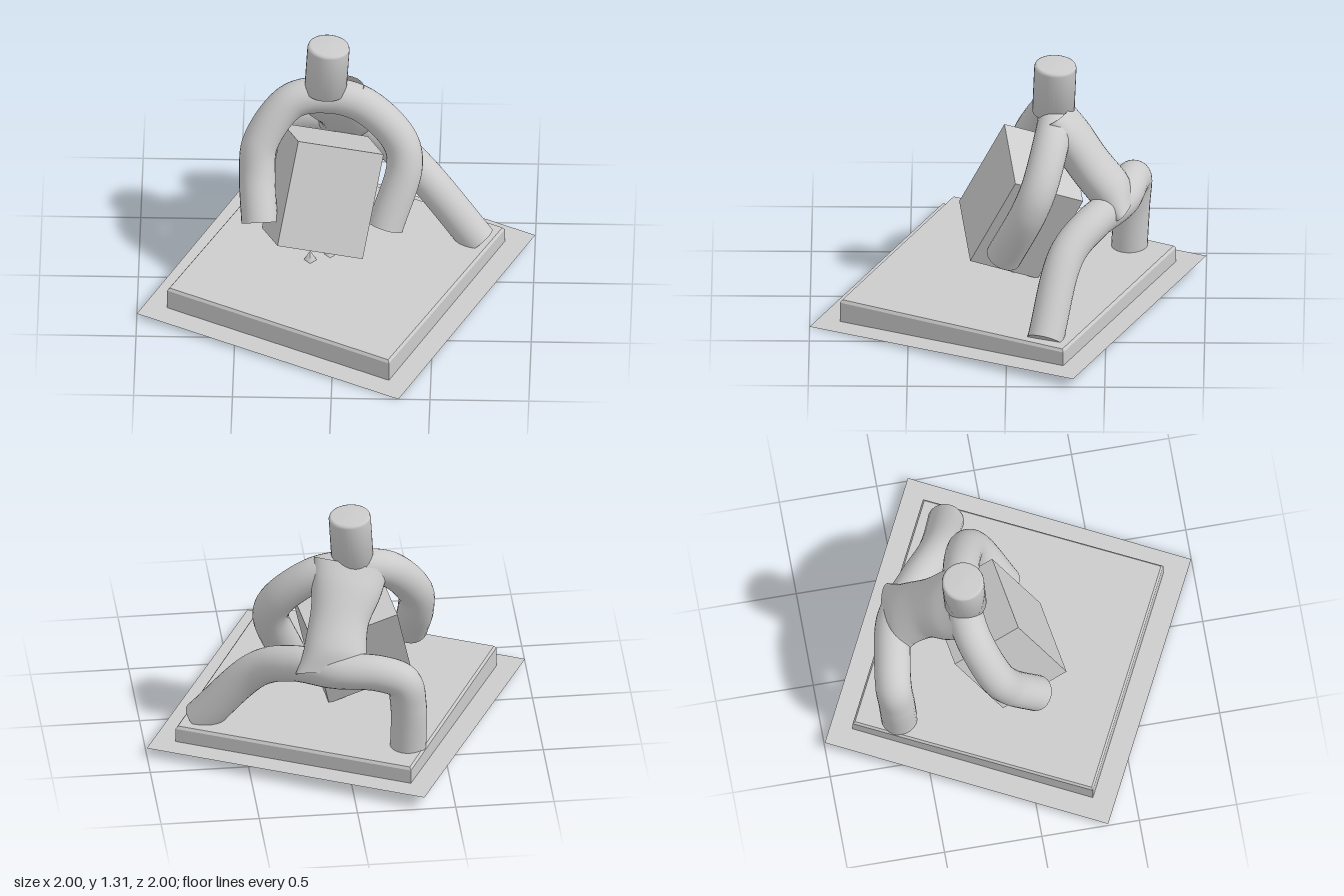
import * as THREE from 'three';

const grey = new THREE.MeshStandardMaterial({ color: 0xcccccc });
const greyDouble = new THREE.MeshStandardMaterial({ color: 0xcccccc, side: THREE.DoubleSide });
const V = (p) => new THREE.Vector3(...p);

function add(parent, name, geometry, material = grey) {
  const mesh = new THREE.Mesh(geometry, material);
  mesh.name = name;
  parent.add(mesh);
  return mesh;
}

// Round limb pair swept along a smooth path, closed by flat ends
function limbs(parent, name, points, radius) {
  const group = new THREE.Group();
  group.name = name;
  const path = new THREE.CatmullRomCurve3(points.map(V), false, 'centripetal');
  add(group, name + 'Sweep', new THREE.TubeGeometry(path, 96, radius, 24));
  for (const t of [0, 1]) {
    const out = path.getTangent(t).multiplyScalar(t ? 1 : -1);
    const cap = add(group, name + 'End', new THREE.CircleGeometry(radius, 24));
    cap.quaternion.setFromUnitVectors(new THREE.Vector3(0, 0, 1), out);
    cap.position.copy(path.getPoint(t));
  }
  parent.add(group);
}

// Torso: elliptical cross-sections [x, y, z, half width, half depth] along a leaning spine
function torsoGeometry(sections) {
  const steps = 24, sides = 32;
  const spine = new THREE.CatmullRomCurve3(sections.map((s) => V(s.slice(0, 3))));
  const sizes = new THREE.CatmullRomCurve3(sections.map((s) => V([s[3], s[4], 0])));
  const pos = [], index = [];
  for (let i = 0; i <= steps; i++) {
    const t = i / steps;
    const c = spine.getPoint(t), size = sizes.getPoint(t), tan = spine.getTangent(t);
    const depth = new THREE.Vector3().crossVectors(tan, new THREE.Vector3(1, 0, 0)).normalize();
    const side = new THREE.Vector3().crossVectors(depth, tan).normalize();
    for (let j = 0; j < sides; j++) {
      const a = (j / sides) * Math.PI * 2;
      const p = c.clone().addScaledVector(side, size.x * Math.cos(a))
        .addScaledVector(depth, size.y * Math.sin(a));
      pos.push(p.x, p.y, p.z);
      if (i < steps) {
        const k = (j + 1) % sides, r = i * sides, n = r + sides;
        index.push(r + j, r + k, n + j, r + k, n + k, n + j);
      }
    }
  }
  const g = new THREE.BufferGeometry();
  g.setAttribute('position', new THREE.Float32BufferAttribute(pos, 3));
  g.setIndex(index);
  g.computeVertexNormals();
  return g;
}

// Hollow plinth: square rings from the thin flange, up the walls, to the middle of the top
function plinthGeometry() {
  const corners = [[-0.34, -1], [1, -0.34], [0.34, 1], [-1, 0.34]];
  const low = (x, z) => 0.038 - 0.034 * z;
  const high = (x, z) => 0.143 - 0.012 * z - 0.012 * x;
  const rings = [[1, low, 0], [0.848, low, 0], [0.848, high, -0.014], [0.835, high, 0], [0, high, 0]];
  const point = ([s, level, dy], i) => {
    const x = corners[i % 4][0] * s, z = corners[i % 4][1] * s;
    return [x, level(x, z) + dy, z];
  };
  const pos = [];
  for (let r = 0; r < rings.length - 1; r++) {
    for (let i = 0; i < 4; i++) {
      const a = point(rings[r], i), b = point(rings[r], i + 1);
      const c = point(rings[r + 1], i), d = point(rings[r + 1], i + 1);
      pos.push(...a, ...c, ...b);
      if (rings[r + 1][0] > 0) pos.push(...b, ...c, ...d);
    }
  }
  const g = new THREE.BufferGeometry();
  g.setAttribute('position', new THREE.Float32BufferAttribute(pos, 3));
  g.computeVertexNormals();
  return g;
}

export function createModel() {
  const model = new THREE.Group();
  model.name = 'figureLiftingBlock';

  add(model, 'plinth', plinthGeometry(), greyDouble);

  // Tilted block held between the arms, from one front corner and three edges
  const across = V([0.43, -0.12, -0.06]), down = V([-0.1, -0.49, 0.23]);
  const back = across.clone().cross(down).normalize().multiplyScalar(0.38);
  const centre = V([-0.19, 0.89, 0.02]).addScaledVector(across, 0.5)
    .addScaledVector(down, 0.5).addScaledVector(back, 0.5);
  const frame = new THREE.Matrix4()
    .makeBasis(across, down.clone().negate(), back.clone().negate()).setPosition(centre);
  add(model, 'block', new THREE.BoxGeometry(1, 1, 1).applyMatrix4(frame));

  // Small rough chips under the block
  for (const [x, z, h] of [[-0.13, 0.02, 0.06], [-0.03, -0.03, 0.04]]) {
    add(model, 'chip', new THREE.ConeGeometry(0.035, h, 4)).position.set(x, 0.14 + h / 2, z);
  }

  const figure = new THREE.Group();
  figure.name = 'figure';
  model.add(figure);

  // Head: short, slightly leaning cylinder with a softened rim
  const profile = [[0, -0.15], [0.107, -0.15], [0.107, 0.105], [0.103, 0.117], [0.092, 0.122], [0, 0.125]];
  const rim = profile.map(([x, y]) => new THREE.Vector2(x, y));
  const head = add(figure, 'head', new THREE.LatheGeometry(rim, 32));
  head.position.set(-0.05, 1.183, -0.235);
  head.rotation.set(-0.04, 0, -0.06);

  limbs(figure, 'arms', [
    [-0.385, 0.42, 0.08], [-0.4, 0.62, -0.06], [-0.385, 0.77, -0.13], [-0.23, 0.965, -0.22],
    [-0.05, 0.99, -0.24], [0.13, 0.95, -0.22], [0.315, 0.78, -0.16], [0.345, 0.66, -0.11],
    [0.25, 0.36, 0.02],
  ], 0.092);

  limbs(figure, 'legs', [
    [-0.3, 0.13, -0.61], [-0.3, 0.4, -0.625], [-0.27, 0.54, -0.635], [-0.15, 0.59, -0.62],
    [0.07, 0.59, -0.57], [0.26, 0.56, -0.43], [0.43, 0.46, -0.3], [0.715, 0.12, -0.195],
  ], 0.092);

  add(figure, 'torso', torsoGeometry([
    [-0.05, 1.02, -0.25, 0.19, 0.08], [-0.02, 0.92, -0.31, 0.18, 0.105],
    [0.03, 0.78, -0.41, 0.15, 0.11], [0.06, 0.66, -0.51, 0.16, 0.11],
    [0.07, 0.57, -0.58, 0.2, 0.07],
  ]), greyDouble);

  return model;
}
